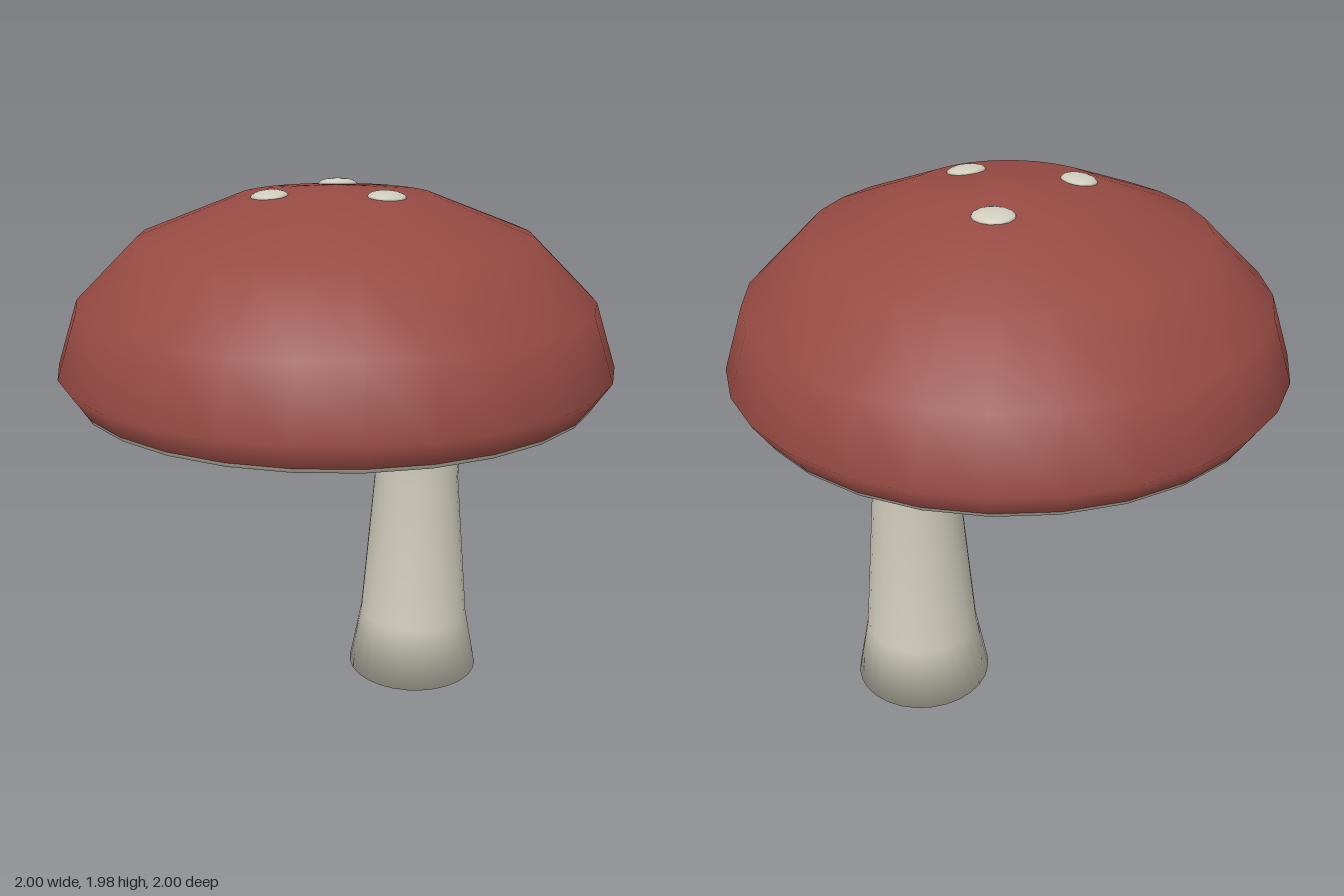
import * as THREE from 'three';

const SEGMENTS = 28;

// Lathe from [radius, height] pairs, listed bottom to top
function lathe(name, points, material, segments = SEGMENTS) {
  const profile = points.map(([r, y]) => new THREE.Vector2(r, y));
  const mesh = new THREE.Mesh(new THREE.LatheGeometry(profile, segments), material);
  mesh.name = name;
  return mesh;
}

export function createModel() {
  const red = new THREE.MeshStandardMaterial({ color: 0x964a43 });
  red.name = 'cap red';
  const cream = new THREE.MeshStandardMaterial({ color: 0xd0ccbc });
  cream.name = 'stem cream';

  const group = new THREE.Group();
  group.name = 'mushroom';

  // Domed cap with a tucked-in lower rim
  group.add(lathe('cap', [
    [0.94, 1.272], [0.998, 1.36], [0.92, 1.59], [0.695, 1.81], [0.345, 1.946], [0, 1.98],
  ], red));

  // Flat underside, a thin disc just below the cap
  group.add(lathe('underside', [[0, 1.257], [0.932, 1.257], [0.94, 1.274]], cream));

  // Off-centre stem, flared at the foot and at the neck
  const stem = lathe('stem', [
    [0, 0], [0.262, 0], [0.216, 0.24], [0.165, 0.83], [0.187, 1.2], [0.232, 1.26],
  ], cream);
  stem.position.x = 0.372;
  group.add(stem);

  // Flattened spots lying on the top slope
  const spotGeometry = new THREE.SphereGeometry(1, 14, 10);
  const slope = Math.atan(0.034 / 0.345);
  for (const [x, z] of [[0.15, -0.24], [-0.255, -0.015], [0.065, 0.225]]) {
    const spot = new THREE.Mesh(spotGeometry, cream);
    spot.name = 'spot';
    spot.scale.set(0.063, 0.02, 0.073);
    spot.position.set(x, 1.98 - Math.tan(slope) * Math.hypot(x, z), z);
    spot.rotation.set(0, Math.atan2(-z, x), -slope, 'YXZ');
    group.add(spot);
  }
  return group;
}
